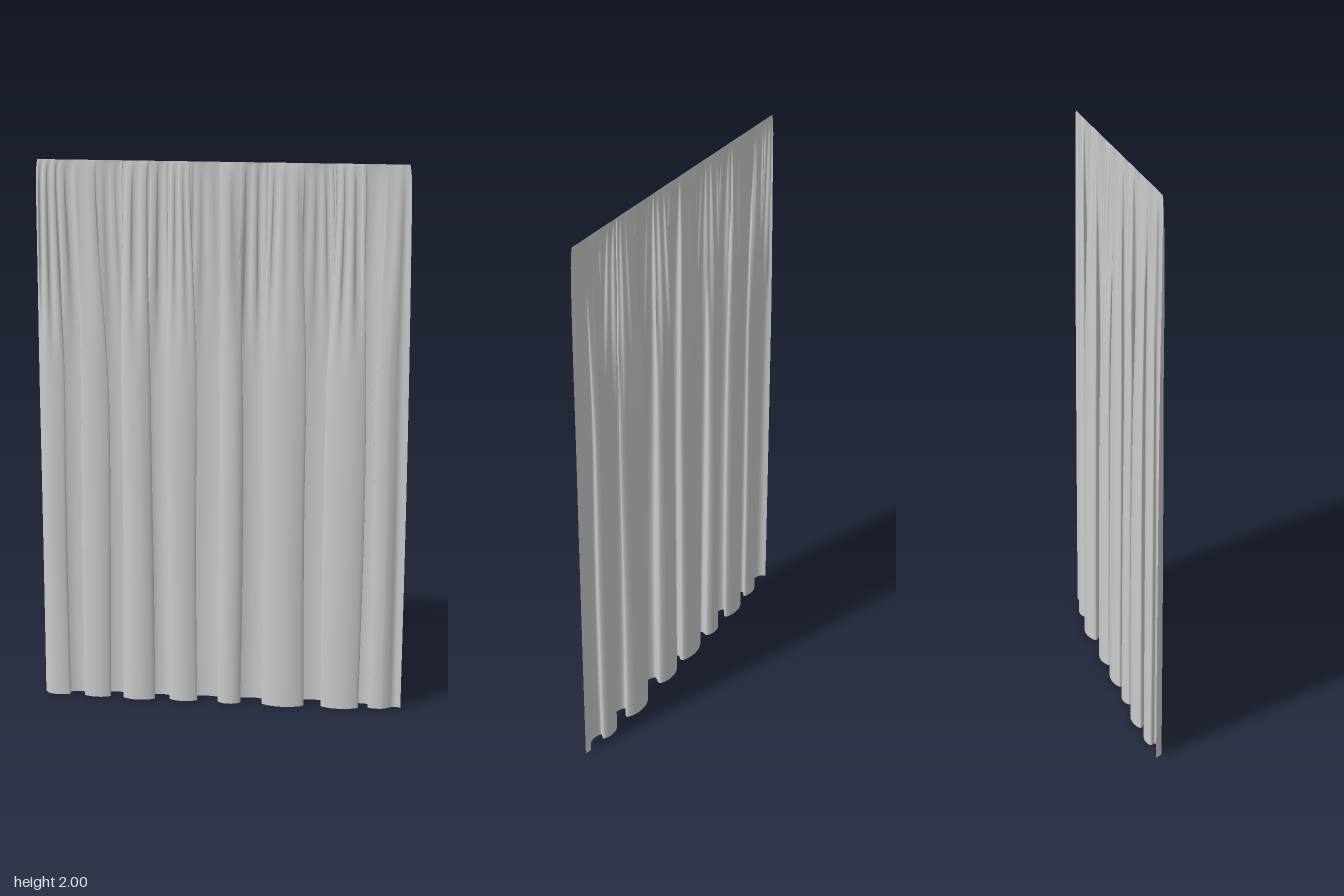
import * as THREE from 'three';

// Hem folds from right to left edge: [centre x, half width, depth z]
const FOLDS = [
  [-0.612, 0.042, 0.018], [-0.537, 0.042, -0.021], [-0.467, 0.05, 0.026], [-0.392, 0.06, -0.033],
  [-0.31, 0.06, 0.036], [-0.23, 0.043, -0.029], [-0.143, 0.052, 0.029], [-0.065, 0.068, -0.034],
  [0.028, 0.043, 0.035], [0.108, 0.062, -0.036], [0.228, 0.078, 0.041], [0.335, 0.072, -0.043],
  [0.438, 0.07, 0.035], [0.513, 0.045, -0.028], [0.577, 0.036, 0.017],
];
const COLS = 640, ROWS = 72;

// Fold line along the hem; neighbouring folds overlap a little
function hemCurve() {
  const pts = [new THREE.Vector3(-0.668, 0, -0.012)];
  for (const [c, w, d] of FOLDS) {
    pts.push(new THREE.Vector3(c - w, 0, d * 0.4));
    pts.push(new THREE.Vector3(c - w * 0.45, 0, d * 0.93));
    pts.push(new THREE.Vector3(c + w * 0.45, 0, d * 0.93));
    pts.push(new THREE.Vector3(c + w, 0, d * 0.4));
  }
  pts.push(new THREE.Vector3(0.635, 0, -0.008), new THREE.Vector3(0.662, 0, -0.004));
  const curve = new THREE.CatmullRomCurve3(pts, false, 'centripetal');
  curve.arcLengthDivisions = 2000;
  return curve;
}

export function createModel() {
  const group = new THREE.Group();
  group.name = 'curtain';

  const hem = hemCurve().getSpacedPoints(COLS);
  const geo = new THREE.PlaneGeometry(1, 1, COLS, ROWS);
  const pos = geo.attributes.position;

  for (let j = 0; j <= ROWS; j++) {
    // rows crowd toward the gathered top
    const t = 1 - Math.pow(j / ROWS, 1.8);
    const y = 2 * t;
    // folds flatten to a straight line at the top
    const depth = Math.sin(Math.pow(1 - t, 0.62) * Math.PI / 2);
    const gather = THREE.MathUtils.smoothstep(y, 1.2, 1.95);
    const even = THREE.MathUtils.smoothstep(y, 1.1, 2.0);
    const fade = 1 - Math.pow(t, 40);
    for (let i = 0; i <= COLS; i++) {
      const u = i / COLS, p = hem[i];
      const edge = Math.min(1, Math.min(u, 1 - u) * 25);
      // small uneven pleats below the heading
      const phase = 2 * Math.PI * (37 * u + 0.6 * Math.sin(17 * u) + 0.4 * Math.sin(31 * u));
      const reach = 0.65 + 0.35 * Math.sin(23 * u + 1);
      const pleat = gather * reach;
      // folds drift sideways slightly on the way down
      const sway = 0.008 * Math.sin(Math.PI * t) * Math.sin(p.x * 14 + 2.5 * t) * edge;
      const x = THREE.MathUtils.lerp(p.x, (u - 0.5) * 1.32, even * 0.75) + sway
        - 0.0035 * pleat * fade * Math.sin(2 * phase) * edge
        + (p.x > 0 ? 0.006 : 0.003) * Math.sin(Math.PI * t) * Math.abs(p.x);
      const z = depth * (p.z * (1 - 0.35 * gather) + 0.019 * pleat * Math.sin(phase));
      // heading tucks in at its corners
      const tuck = 1 - 0.012 * Math.pow(t, 60);
      pos.setXYZ(j * (COLS + 1) + i, x * tuck, y, z);
    }
  }
  geo.computeVertexNormals();

  const cloth = new THREE.Mesh(geo, new THREE.MeshStandardMaterial({
    color: 0xcccccc, side: THREE.DoubleSide,
  }));
  cloth.name = 'curtainCloth';
  group.add(cloth);
  return group;
}
